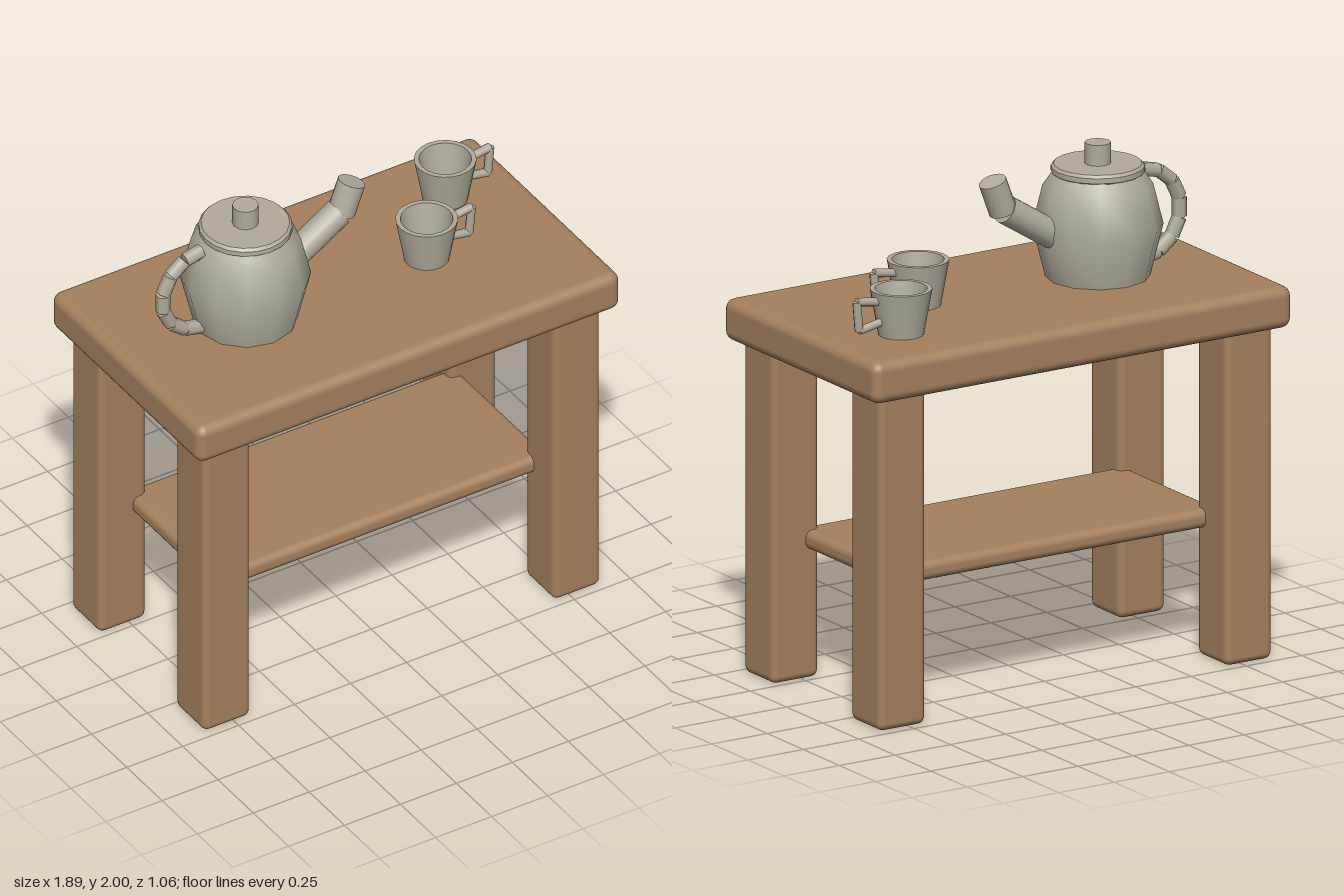
import * as THREE from 'three';
import { RoundedBoxGeometry } from 'three/addons/geometries/RoundedBoxGeometry.js';
import { toCreasedNormals } from 'three/addons/utils/BufferGeometryUtils.js';

const wood = new THREE.MeshStandardMaterial({ color: 0xa5815d });
wood.name = 'wood';
const ceramic = new THREE.MeshStandardMaterial({ color: 0xb0ab9c });
ceramic.name = 'ceramic';

const TOP = 1.475; // height of the table surface

function add(parent, name, geometry, material, x = 0, y = 0, z = 0) {
  const mesh = new THREE.Mesh(geometry, material);
  mesh.name = name;
  mesh.position.set(x, y, z);
  parent.add(mesh);
  return mesh;
}

// Turned shape from [radius, height] pairs, listed bottom to top on the outside
function lathe(points, sides, crease = 0.7) {
  const profile = points.map(([r, y]) => new THREE.Vector2(r, y));
  return toCreasedNormals(new THREE.LatheGeometry(profile, sides), crease);
}

// Straight round bar between two [x, y] points in the z = 0 plane
function bar(parent, name, a, b, radius, sides) {
  const dx = b[0] - a[0], dy = b[1] - a[1];
  const geometry = new THREE.CylinderGeometry(radius, radius, Math.hypot(dx, dy), sides);
  const mesh = add(parent, name, geometry, ceramic, (a[0] + b[0]) / 2, (a[1] + b[1]) / 2);
  mesh.rotation.z = Math.atan2(-dx, dy);
  return mesh;
}

function createTable() {
  const table = new THREE.Group();
  table.name = 'table';
  add(table, 'tableTop', new RoundedBoxGeometry(1.89, 0.165, 1.06, 3, 0.04), wood, 0, 1.392, 0);
  add(table, 'shelf', new RoundedBoxGeometry(1.48, 0.075, 0.66, 3, 0.03), wood, 0, 0.548, 0);
  for (const sx of [-1, 1]) {
    for (const sz of [-1, 1]) {
      const leg = new RoundedBoxGeometry(0.21, 1.36, 0.21, 3, 0.028);
      add(table, 'leg', leg, wood, sx * 0.782, 0.68, sz * 0.37);
    }
  }
  return table;
}

function createTeapot() {
  const teapot = new THREE.Group();
  teapot.name = 'teapot';
  const body = lathe([[0, 0], [0.2, 0], [0.249, 0.2], [0.21, 0.36], [0.175, 0.41], [0, 0.41]], 12, 0.9);
  add(teapot, 'teapotBody', body, ceramic);
  const lid = lathe([[0, 0.402], [0.165, 0.402], [0.178, 0.412], [0.178, 0.432], [0.168, 0.443], [0, 0.443]], 20);
  add(teapot, 'lid', lid, ceramic);
  add(teapot, 'lidKnob', new THREE.CylinderGeometry(0.05, 0.05, 0.085, 12), ceramic, 0, 0.4825, 0);

  // Spout with a bent tip
  bar(teapot, 'spout', [0.12, 0.14], [0.418, 0.328], 0.056, 16);
  bar(teapot, 'spoutTip', [0.428, 0.322], [0.475, 0.447], 0.054, 16);

  // Handle made of short segments along a half circle
  const count = 7, radius = 0.173;
  for (let i = 0; i < count; i++) {
    const angle = Math.PI / 2 + (Math.PI * (i + 0.5)) / count;
    const segment = add(teapot, 'handleSegment', new THREE.CylinderGeometry(0.029, 0.029, 0.076, 6), ceramic,
      -0.195 + radius * Math.cos(angle), 0.21 + radius * Math.sin(angle), 0);
    segment.rotation.z = angle;
  }
  teapot.position.set(-0.405, TOP, 0);
  return teapot;
}

function createCup(x, z) {
  const cup = new THREE.Group();
  cup.name = 'cup';
  const shell = lathe([[0, 0], [0.087, 0], [0.119, 0.18], [0.1, 0.18], [0.074, 0.03], [0, 0.03]], 20);
  add(cup, 'cupBody', shell, ceramic);
  // Three-bar handle
  const path = [[0.1, 0.142], [0.2, 0.157], [0.19, 0.042], [0.085, 0.062]];
  for (let i = 0; i < 3; i++) bar(cup, 'cupHandle', path[i], path[i + 1], 0.017, 8);
  cup.position.set(x, TOP, z);
  return cup;
}

export function createModel() {
  const model = new THREE.Group();
  model.name = 'tableWithTeaSet';
  model.add(createTable(), createTeapot(), createCup(0.376, 0.046), createCup(0.638, -0.238));
  return model;
}
